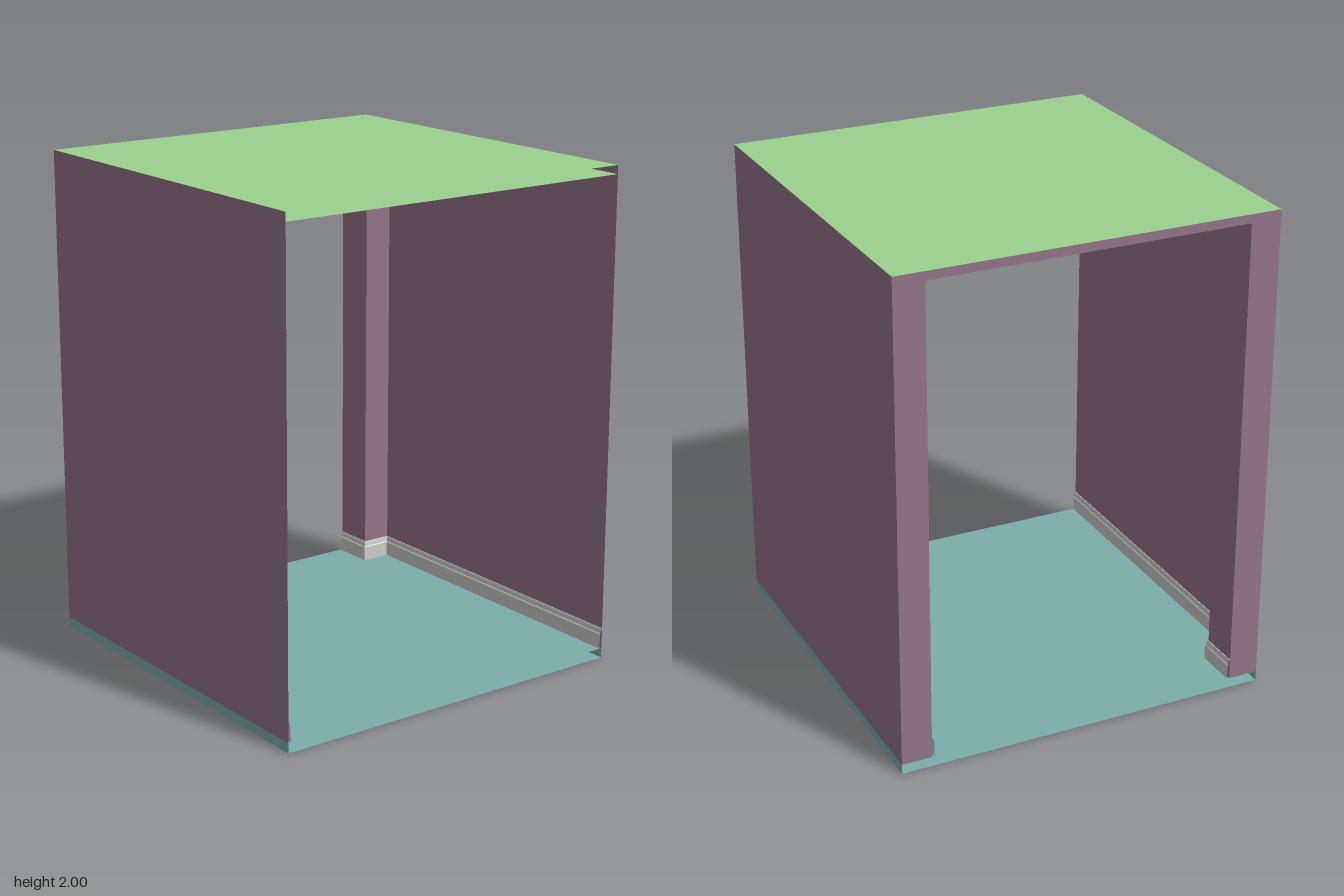
import * as THREE from 'three';

const X = 0.785, Z = 0.772;               // half extents of the room
const FLOOR = 0.04, CEIL = 1.965, TOP = 2;
const INNER = -0.617, JAMB = 0.648;       // inner face of the door wall, half width of the opening

const mat = (color) => new THREE.MeshStandardMaterial({ color, side: THREE.DoubleSide, flatShading: true });

export function createModel() {
  const room = new THREE.Group();
  room.name = 'room';
  const wall = mat(0x937588), green = mat(0x9bd18d), teal = mat(0x7cada9), grey = mat(0xcccccc);

  const add = (name, geometry, material, parent = room) => {
    const mesh = new THREE.Mesh(geometry, material);
    mesh.name = name;
    parent.add(mesh);
    return mesh;
  };
  // Upright sheet facing z
  const sheetZ = (name, x0, x1, y0, y1, z, material, parent) => {
    const g = new THREE.PlaneGeometry(x1 - x0, y1 - y0);
    if (z < 0) g.rotateY(Math.PI);
    add(name, g.translate((x0 + x1) / 2, (y0 + y1) / 2, z), material, parent);
  };
  // Level sheet; up = 1 faces up, -1 faces down
  const sheetY = (name, x0, x1, y, up, material) => add(name,
    new THREE.PlaneGeometry(x1 - x0, 2 * Z).rotateX(-up * Math.PI / 2).translate((x0 + x1) / 2, y, 0), material);

  // Floor and ceiling, hollow with open ends
  sheetY('floorTop', -X, X, FLOOR, 1, teal);
  sheetY('floorUnderside', -X, X, 0, -1, teal);
  sheetY('roof', -X, X, TOP, 1, green);
  sheetY('ceiling', INNER, X, CEIL, -1, green);
  sheetY('doorSoffit', -X, INNER, CEIL, -1, wall);

  // Outer face of the door wall, one sheet with the opening cut out
  const frame = new THREE.Shape([
    [-Z, FLOOR], [-JAMB, FLOOR], [-JAMB, CEIL], [JAMB, CEIL],
    [JAMB, FLOOR], [Z, FLOOR], [Z, TOP], [-Z, TOP],
  ].map(([z, y]) => new THREE.Vector2(z, y)));
  add('doorWall', new THREE.ShapeGeometry(frame).rotateY(-Math.PI / 2).translate(-X, 0, 0), wall);

  // Skirting profile (thickness, height), swept with mitred corners around the jamb
  const profile = [[0.01, FLOOR], [0.01, 0.1], [0.007, 0.104], [0.005, 0.118], [0.003, 0.125], [0, 0.125]];
  const skirting = () => {
    const rows = profile.map(([t, y]) => [
      [X, y, Z - t], [INNER + t, y, Z - t], [INNER + t, y, JAMB - t], [-X, y, JAMB - t],
    ]);
    const pos = [];
    for (let i = 0; i < rows.length - 1; i++) {
      for (let j = 0; j < 3; j++) {
        const a = rows[i][j], b = rows[i][j + 1], c = rows[i + 1][j + 1], d = rows[i + 1][j];
        pos.push(...a, ...b, ...c, ...a, ...c, ...d);
      }
    }
    const g = new THREE.BufferGeometry();
    g.setAttribute('position', new THREE.Float32BufferAttribute(pos, 3));
    g.computeVertexNormals();
    return g;
  };

  // Each long side: wall, floor edge, door jamb and skirting
  for (const s of [1, -1]) {
    const side = new THREE.Group();
    side.name = s > 0 ? 'frontSide' : 'backSide';
    room.add(side);
    sheetZ('wall', -X, X, FLOOR, TOP, s * Z, wall, side);
    sheetZ('floorEdge', -X, X, 0, FLOOR, s * Z, teal, side);
    sheetZ('jambReveal', -X, INNER, FLOOR, CEIL, s * JAMB, wall, side);
    add('jambInner', new THREE.PlaneGeometry(Z - JAMB, CEIL - FLOOR).rotateY(Math.PI / 2)
      .translate(INNER, (CEIL + FLOOR) / 2, s * (Z + JAMB) / 2), wall, side);
    add('skirting', skirting(), grey, side).scale.z = s;
  }
  return room;
}
